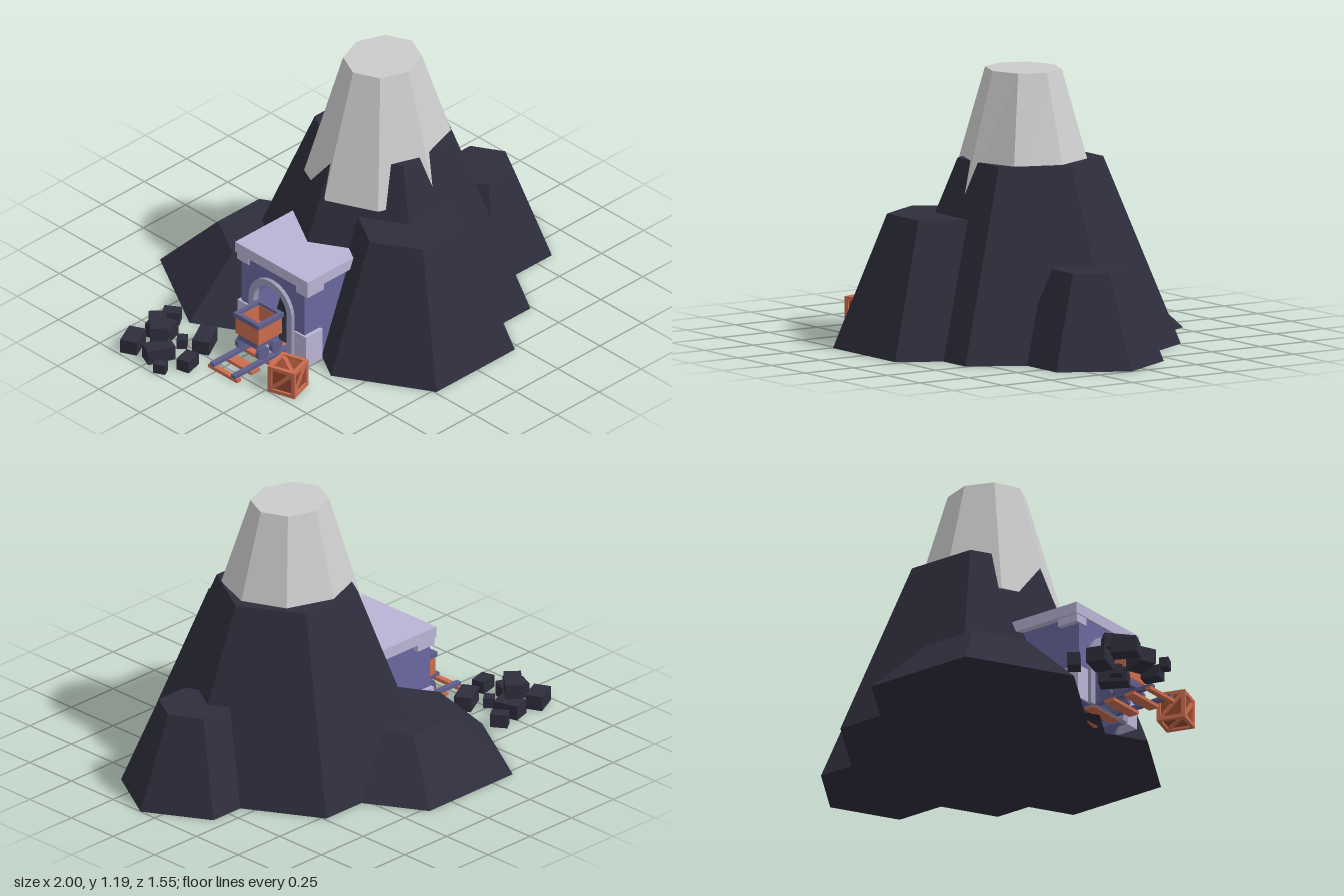
import * as THREE from 'three';

const mat = (color, side = THREE.FrontSide) =>
  new THREE.MeshStandardMaterial({ color, side, flatShading: true });
const ROCK = mat(0x2e2d3c), CAP = mat(0xcccccc), WALL = mat(0x6a68a0, THREE.DoubleSide);
const STONE = mat(0xbab4d6), TRIM = mat(0x9c98b8, THREE.DoubleSide);
const WOOD = mat(0xcb6c4e), DARKWOOD = mat(0x96492f), METAL = mat(0x5f5e8c);

function add(parent, name, geometry, material, x = 0, y = 0, z = 0) {
  const mesh = new THREE.Mesh(geometry, material);
  mesh.name = name;
  mesh.position.set(x, y, z);
  parent.add(mesh);
  return mesh;
}
const box = (parent, name, material, w, h, d, x, y, z) =>
  add(parent, name, new THREE.BoxGeometry(w, h, d), material, x, y, z);

function group(parent, name, x = 0, y = 0, z = 0) {
  const g = new THREE.Group();
  g.name = name;
  g.position.set(x, y, z);
  parent.add(g);
  return g;
}

// Arch outline: straight legs below a half circle
function arch(target, r, spring, base) {
  target.moveTo(-r, base);
  target.lineTo(-r, spring);
  target.absarc(0, spring, r, Math.PI, 0, true);
  target.lineTo(r, base);
  target.closePath();
  return target;
}
// Extrudes a (z, y) outline from x = back towards -x
function extrudeX(shape, depth) {
  const g = new THREE.ExtrudeGeometry(shape, { depth, bevelEnabled: false, curveSegments: 8 });
  return g.rotateY(-Math.PI / 2);
}

// Four six-sided rocks and the pale eight-sided cap
function buildMountain(root) {
  const g = group(root, 'mountain');
  const rocks = [
    ['mainRock', 0.17, 0.035, 0.64, 0.31, 0.81],
    ['frontRock', -0.01, 0.365, 0.465, 0.235, 0.575],
    ['backRock', -0.12, -0.345, 0.5, 0.245, 0.24],
    ['sideRock', 0.68, 0.085, 0.32, 0.155, 0.4],
  ];
  for (const [name, x, z, bottom, top, h] of rocks) {
    const geo = new THREE.CylinderGeometry(top, bottom, h, 6).rotateY(Math.PI / 6);
    add(g, name, geo, ROCK, x, h / 2, z);
  }
  const cap = new THREE.CylinderGeometry(0.175, 0.348, 0.57, 8).scale(1, 1, 0.91);
  const p = cap.attributes.position;
  for (let i = 0; i < p.count; i++) { // front left ridge flares a little
    if (p.getY(i) < 0 && p.getX(i) > 0.05 && p.getZ(i) > 0.05) {
      p.setXYZ(i, p.getX(i) * 1.06, p.getY(i), p.getZ(i) * 1.06);
    }
  }
  add(g, 'peakCap', cap, CAP, 0.14, 0.905, 0.05);
}

// Portal facing -x, with an arched tunnel
function buildEntrance(root) {
  const g = group(root, 'mineEntrance', 0, 0, 0.04);
  const wall = new THREE.Shape();
  wall.moveTo(-0.19, 0.002);
  wall.lineTo(-0.19, 0.4);
  wall.lineTo(0.19, 0.4);
  wall.lineTo(0.19, 0.002);
  wall.lineTo(0.105, 0.002);
  wall.lineTo(0.105, 0.215);
  wall.absarc(0, 0.215, 0.105, 0, Math.PI, false);
  wall.lineTo(-0.105, 0.002);
  wall.closePath();
  add(g, 'tunnelWall', extrudeX(wall, 0.35), WALL, -0.15);

  const ring = arch(new THREE.Shape(), 0.13, 0.215, 0.002);
  ring.holes.push(arch(new THREE.Path(), 0.1, 0.215, 0.003));
  add(g, 'archTrim', extrudeX(ring, 0.03), TRIM, -0.488);

  box(g, 'roof', STONE, 0.36, 0.05, 0.44, -0.33, 0.415, 0);
  for (const s of [-1, 1]) {
    box(g, 'roofBracket', STONE, 0.1, 0.04, 0.07, -0.455, 0.375, s * 0.178);
    box(g, 'cornerFoot', STONE, 0.1, 0.15, 0.07, -0.458, 0.077, s * 0.172);
  }
}

function buildTrack(root) {
  const g = group(root, 'track', 0, 0, 0.04);
  for (const s of [-1, 1]) box(g, 'rail', METAL, 0.42, 0.015, 0.025, -0.59, 0.0225, s * 0.065);
  for (let i = 0; i < 5; i++) {
    box(g, 'sleeper', WOOD, i ? 0.05 : 0.025, 0.015, 0.175, i ? -0.795 + i * 0.106 : -0.788, 0.0075, 0);
  }
}

// Open tub with a rim and four wheels
function buildCart(root) {
  const g = group(root, 'mineCart', -0.585, 0, 0.04);
  box(g, 'chassis', METAL, 0.13, 0.03, 0.11, 0, 0.1, 0);
  box(g, 'tubFloor', WOOD, 0.13, 0.015, 0.13, 0, 0.12, 0);
  for (const s of [-1, 1]) {
    box(g, 'tubSide', WOOD, 0.14, 0.09, 0.015, 0, 0.16, s * 0.062);
    box(g, 'tubEnd', WOOD, 0.015, 0.09, 0.13, s * 0.062, 0.16, 0);
    box(g, 'rimSide', METAL, 0.15, 0.022, 0.02, 0, 0.208, s * 0.066);
    box(g, 'rimEnd', METAL, 0.02, 0.022, 0.15, s * 0.066, 0.208, 0);
    for (const t of [-1, 1]) {
      const wheel = new THREE.CylinderGeometry(0.032, 0.032, 0.02, 10).rotateX(Math.PI / 2);
      add(g, 'wheel', wheel, METAL, s * 0.04, 0.062, t * 0.062);
    }
  }
}

// Framed crate with a diagonal brace on each side
function buildCrate(root) {
  const S = 0.128, T = 0.017, e = (S - T) / 2;
  const g = group(root, 'crate', -0.67, S / 2, 0.305);
  g.rotation.y = 0.3;
  box(g, 'core', DARKWOOD, S - 0.02, S - 0.02, S - 0.02, 0, 0, 0);
  for (const a of [-e, e]) for (const b of [-e, e]) {
    box(g, 'frameBar', WOOD, S, T, T, 0, a, b);
    box(g, 'frameBar', WOOD, T, S, T, a, 0, b);
    box(g, 'frameBar', WOOD, T, T, S, a, b, 0);
  }
  const turns = [[0, 0], [0, 1], [0, 2], [0, 3], [1, 0], [-1, 0]];
  for (const [rx, ry] of turns) {
    const face = group(g, 'crateFace');
    face.rotation.set(rx * Math.PI / 2, ry * Math.PI / 2, 0);
    box(face, 'brace', WOOD, 0.135, T, 0.008, 0, 0, S / 2 - 0.008).rotation.z = Math.PI / 4;
  }
}

// Loose lumps, one resting on the others: x, z, width, depth, height, turn, base
function buildCoal(root) {
  const g = group(root, 'coalPile');
  const lumps = [
    [-0.92, -0.38, 0.115, 0.075, 0.065, 0.45, 0],
    [-0.77, -0.36, 0.085, 0.115, 0.065, 0.28, 0],
    [-0.665, -0.405, 0.055, 0.075, 0.06, 0.6, 0],
    [-0.835, -0.315, 0.14, 0.075, 0.065, 0.85, 0.065],
    [-0.9, -0.245, 0.125, 0.075, 0.065, -0.4, 0],
    [-0.765, -0.24, 0.05, 0.045, 0.045, 0.7, 0],
    [-0.7, -0.17, 0.125, 0.075, 0.065, 0.5, 0],
    [-0.968, -0.165, 0.04, 0.055, 0.045, 0.45, 0],
    [-0.86, -0.11, 0.085, 0.06, 0.055, 0.25, 0],
  ];
  for (const [x, z, w, d, h, turn, base] of lumps) {
    box(g, 'coalLump', ROCK, w, h, d, x, base + h / 2, z).rotation.y = turn;
  }
}

export function createModel() {
  const root = new THREE.Group();
  root.name = 'mineMountain';
  for (const build of [buildMountain, buildEntrance, buildTrack, buildCart, buildCrate, buildCoal]) build(root);
  return root;
}
